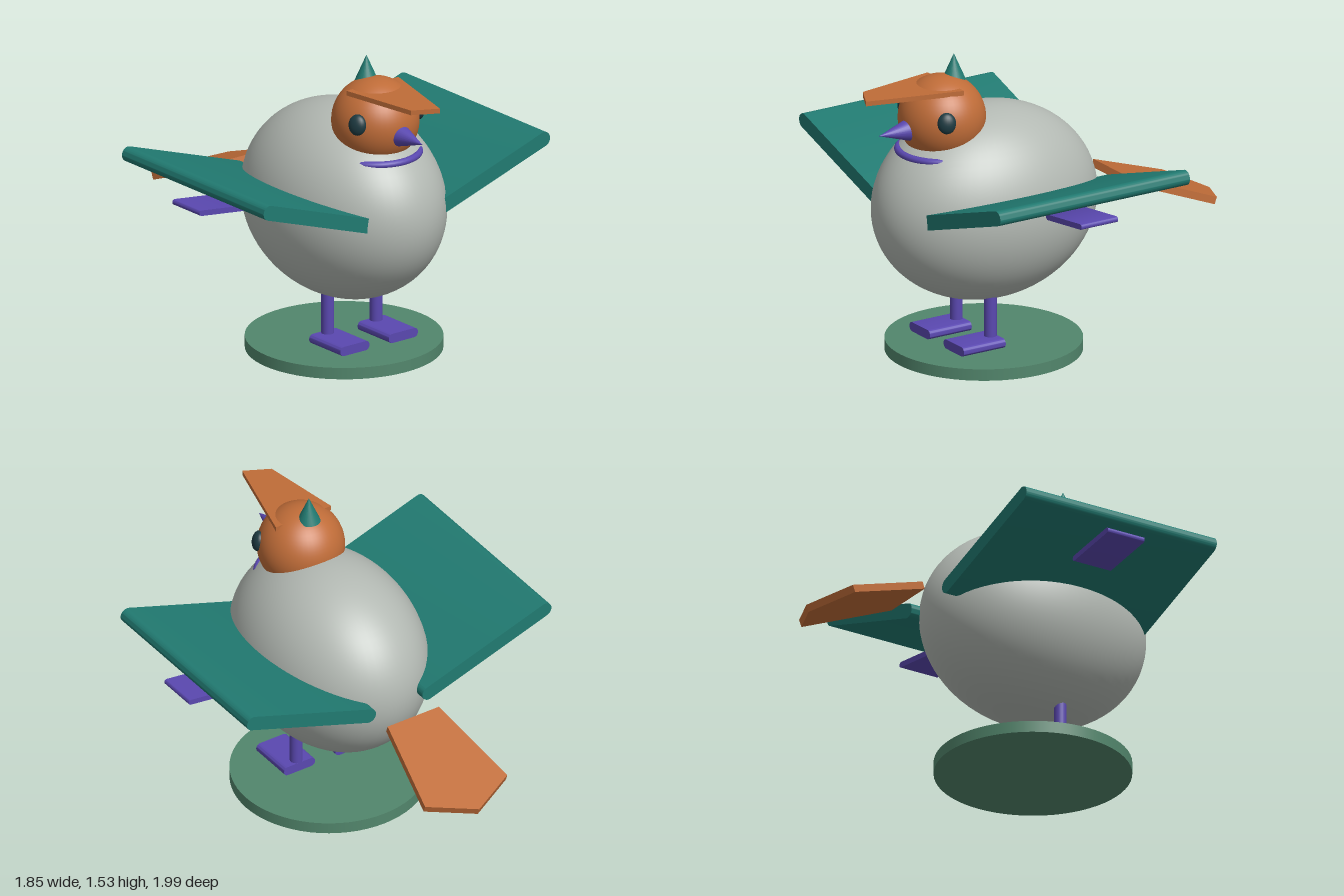
import * as THREE from 'three';
import { toCreasedNormals } from 'three/addons/utils/BufferGeometryUtils.js';

const material = (name, color) => {
  const m = new THREE.MeshStandardMaterial({ color });
  m.name = name;
  return m;
};

// Flat plate lying in the ground plane; outline points are [x, distance towards -z], centred in thickness
function plate(points, thickness) {
  const shape = new THREE.Shape(points.map(([x, y]) => new THREE.Vector2(x, y)));
  const geo = new THREE.ExtrudeGeometry(shape, { depth: thickness, bevelEnabled: false });
  return geo.translate(0, 0, -thickness / 2).rotateX(-Math.PI / 2);
}

// Slab with round side edges along x, extruded along z and centred
function roundSlab(length, radius, depth) {
  const h = length / 2 - radius;
  const shape = new THREE.Shape();
  shape.absarc(h, 0, radius, -Math.PI / 2, Math.PI / 2, false);
  shape.absarc(-h, 0, radius, Math.PI / 2, Math.PI * 1.5, false);
  const geo = new THREE.ExtrudeGeometry(shape, { depth, bevelEnabled: false, curveSegments: 12 });
  return toCreasedNormals(geo.translate(0, 0, -depth / 2), 0.6);
}

export function createModel() {
  const grey = material('body grey', 0xb3b9b3);
  const orange = material('head orange', 0xbf6c38);
  const teal = material('wing teal', 0x217a71);
  const purple = material('beak purple', 0x5a48b0);
  const dark = material('eye dark', 0x1d3a41);
  const green = material('base green', 0x52866c);

  const model = new THREE.Group();
  const add = (name, geo, mat, x, y, z) => {
    const mesh = new THREE.Mesh(geo, mat);
    mesh.name = name;
    mesh.position.set(x, y, z);
    model.add(mesh);
    return mesh;
  };

  // Base, body and head
  add('base', new THREE.CylinderGeometry(0.478, 0.478, 0.058, 64), green, 0, 0.029, 0.302);
  const body = new THREE.SphereGeometry(1, 64, 40).scale(0.43, 0.487, 0.588);
  add('body', body, grey, 0, 0.76, 0.3);
  add('head', new THREE.SphereGeometry(0.213, 48, 32), orange, 0, 1.225, 0.543);

  // Beak, crest and collar
  const beak = new THREE.ConeGeometry(0.053, 0.165, 24).rotateX(Math.PI / 2);
  add('beak', beak, purple, 0, 1.195, 0.822);
  add('crest', new THREE.ConeGeometry(0.057, 0.13, 24), teal, 0, 1.47, 0.474);
  const collar = new THREE.TorusGeometry(0.212, 0.018, 12, 48).rotateX(Math.PI / 2);
  add('collar', collar, purple, 0, 1.065, 0.543);

  // Cap brim with an uneven front edge
  const brim = plate([[-0.16, -0.52], [-0.095, -0.935], [0.032, -1], [0.16, -0.52]].reverse(), 0.024);
  add('brim', brim, orange, 0, 1.387, 0);

  // Tail sloping down to the rear
  const tail = plate([[-0.148, 0], [0.148, 0], [0.238, 0.487], [0, 0.607], [-0.238, 0.487]], 0.037);
  add('tail', tail, orange, 0, 0.76, -0.419).rotation.x = -0.353;

  // Paired parts
  const wing = roundSlab(0.783, 0.037, 1.09);
  const wingPlate = roundSlab(0.315, 0.014, 0.21);
  const foot = roundSlab(0.18, 0.0235, 0.24);
  const leg = new THREE.CylinderGeometry(0.031, 0.031, 0.3, 24);
  const eyeGeo = new THREE.SphereGeometry(1, 24, 16).scale(0.045, 0.052, 0.03);
  for (const [side, s] of [['left', 1], ['right', -1]]) {
    add(side + 'Wing', wing, teal, s * 0.508, 0.889, 0.24).rotation.z = s * 0.32;
    add(side + 'WingPlate', wingPlate, purple, s * 0.767, 0.875, 0.24).rotation.z = s * 0.122;
    add(side + 'Leg', leg, purple, s * 0.149, 0.25, 0.362);
    add(side + 'Foot', foot, purple, s * 0.149, 0.095, 0.452);
    const eye = add(side + 'Eye', eyeGeo, dark, s * 0.185, 1.262, 0.636);
    eye.lookAt(s * 0.37, 1.299, 0.729);
  }
  return model;
}
